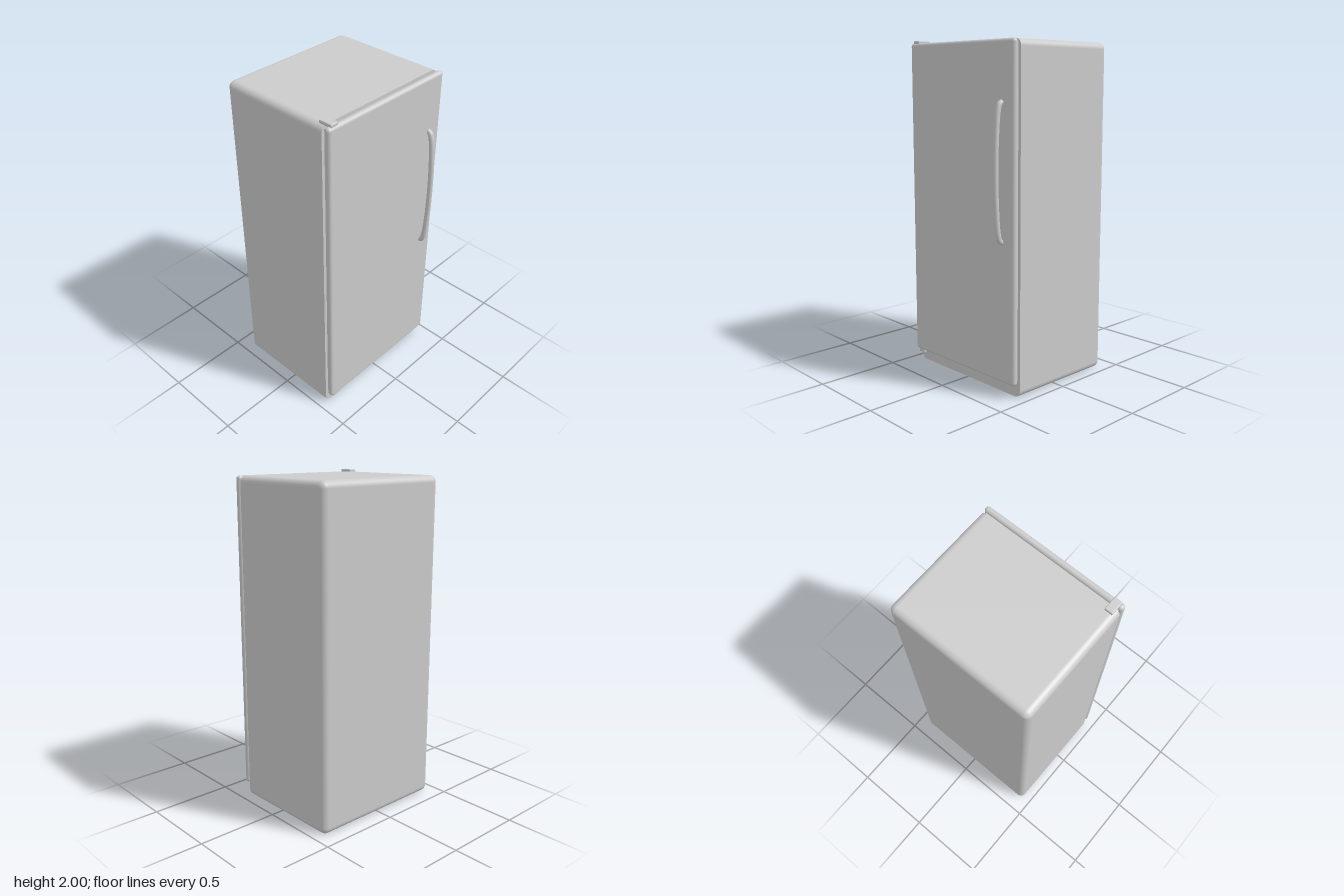
import * as THREE from 'three';
import { RoundedBoxGeometry } from 'three/addons/geometries/RoundedBoxGeometry.js';

const material = new THREE.MeshStandardMaterial({ color: 0xcccccc });

function addMesh(group, name, geometry) {
  const mesh = new THREE.Mesh(geometry, material);
  mesh.name = name;
  group.add(mesh);
  return mesh;
}

// Rounded box given by its minimum and maximum corners
function roundedBox(min, max, radius, segments) {
  const size = max.map((v, i) => v - min[i]);
  const geometry = new RoundedBoxGeometry(...size, segments, radius);
  return geometry.translate(...max.map((v, i) => (v + min[i]) / 2));
}

// Press everything in front of z = limit flat, leaving a sharp front edge
function flattenFront(geometry, limit) {
  const pos = geometry.attributes.position;
  const normal = geometry.attributes.normal;
  for (let i = 0; i < pos.count; i += 3) {
    const corners = [i, i + 1, i + 2];
    const isFront = corners.every((c) => pos.getZ(c) > limit - 1e-5);
    for (const c of corners) {
      if (isFront) normal.setXYZ(c, 0, 0, 1);
      if (pos.getZ(c) > limit) pos.setZ(c, limit);
    }
  }
  return geometry;
}

export function createModel() {
  const model = new THREE.Group();
  model.name = 'refrigerator';

  // Cabinet: rounded sides and back, flat front
  const front = 0.3;
  const r = 0.04;
  addMesh(model, 'cabinet',
    flattenFront(roundedBox([-0.445, 0, -0.41], [0.445, 1.985, front + r], r, 6), front));

  // Door with a narrower seal behind it
  const door = new THREE.Group();
  door.name = 'door';
  model.add(door);
  addMesh(door, 'doorPanel', roundedBox([-0.445, 0.077, 0.312], [0.445, 1.985, 0.351], 0.019, 5));
  addMesh(door, 'doorSeal', roundedBox([-0.427, 0.095, 0.298], [0.427, 1.967, 0.33], 0.005, 2));

  // Bowed handle, its ends sunk into the door
  const path = new THREE.CatmullRomCurve3([
    [0.888, 0.338], [0.893, 0.36], [0.925, 0.374], [1.07, 0.389], [1.27, 0.394],
    [1.47, 0.389], [1.615, 0.374], [1.647, 0.36], [1.652, 0.338],
  ].map(([y, z]) => new THREE.Vector3(0.348, y, z)), false, 'centripetal');
  addMesh(door, 'handle', new THREE.TubeGeometry(path, 64, 0.016, 16));

  // Hinges above and below the door
  addMesh(model, 'topHinge', roundedBox([-0.422, 1.978, 0.26], [-0.374, 2, 0.343], 0.005, 3));
  addMesh(model, 'bottomHinge', roundedBox([-0.422, 0.06, 0.28], [-0.374, 0.083, 0.343], 0.005, 3));

  return model;
}
